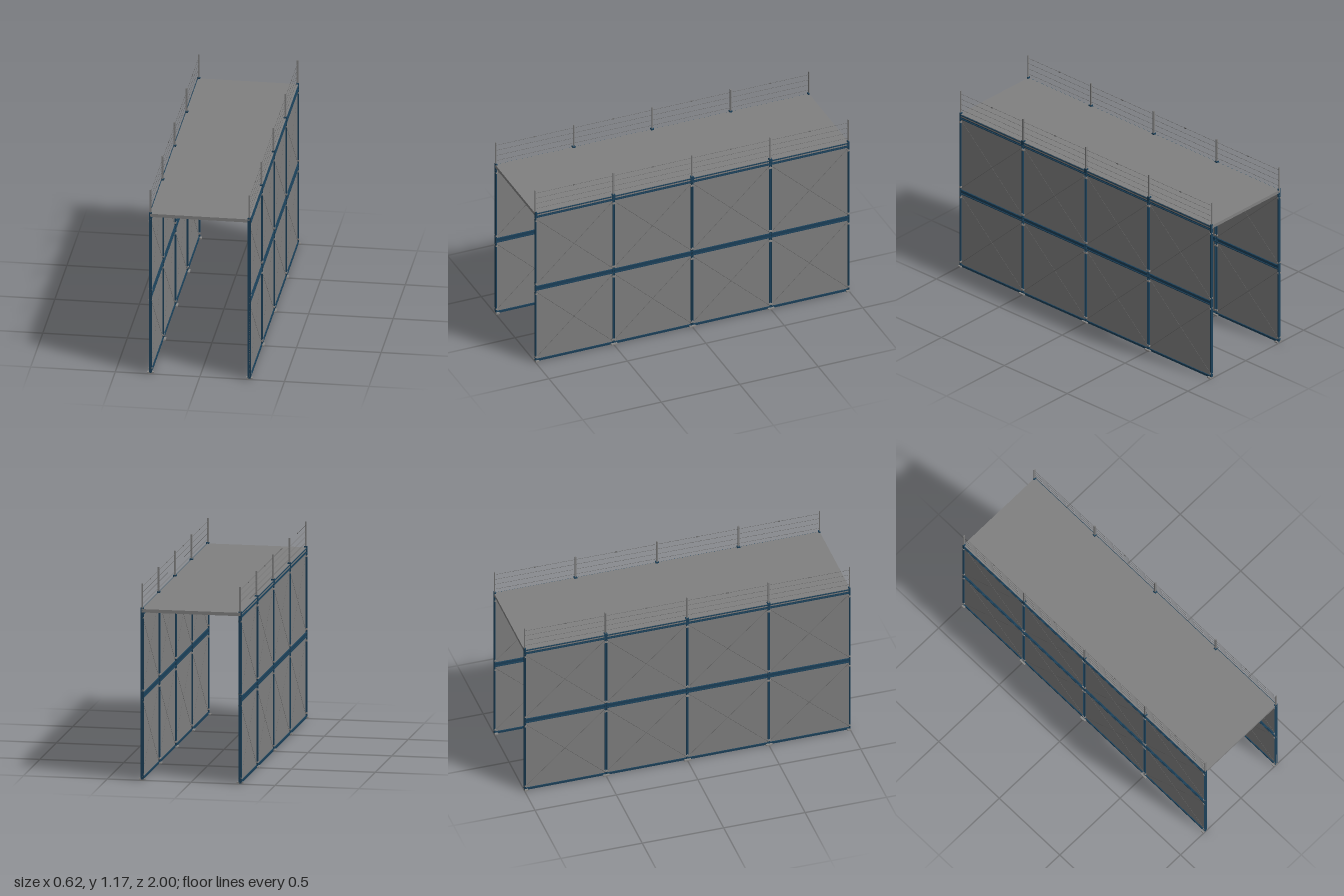
import * as THREE from 'three';

const mat = (name, color) => {
  const m = new THREE.MeshStandardMaterial({ color });
  m.name = name;
  return m;
};

export function createModel() {
  const navy = mat('navy steel', 0x1b4059);
  const grey = mat('panel grey', 0x808080);
  const steel = mat('fitting grey', 0x8a8886);
  const wire = mat('wire grey', 0x6c6c6c);

  const root = new THREE.Group();
  root.name = 'twoStoreyFrame';

  // Box given by its limits; z is clipped to the ends of the structure
  function box(parent, name, material, x, w, y0, y1, z0, z1) {
    z0 = Math.max(-1, z0);
    z1 = Math.min(1, z1);
    const m = new THREE.Mesh(new THREE.BoxGeometry(w, y1 - y0, z1 - z0), material);
    m.position.set(x, (y0 + y1) / 2, (z0 + z1) / 2);
    m.name = name;
    parent.add(m);
    return m;
  }

  // Thin round rod between two points
  function rod(parent, name, material, a, b, r) {
    const d = b.clone().sub(a);
    const m = new THREE.Mesh(new THREE.CylinderGeometry(r, r, d.length(), 6), material);
    m.position.copy(a).add(b).multiplyScalar(0.5);
    m.quaternion.setFromUnitVectors(new THREE.Vector3(0, 1, 0), d.normalize());
    m.name = name;
    parent.add(m);
  }

  const stations = [-1, -0.5, 0, 0.5, 1];
  const W = 0.292;

  // Deck slab
  box(root, 'deck', grey, 0, 0.592, 1.002, 1.022, -1, 1);

  for (const s of [-1, 1]) {
    const x = s * W;
    const side = new THREE.Group();
    side.name = s > 0 ? 'leftSide' : 'rightSide';
    root.add(side);

    // Wall sheet
    box(side, 'wallPanel', grey, x, 0.001, 0.01, 1.0, -1, 1);

    // Sill and I-section beams running the full length
    box(side, 'sill', navy, x, 0.014, 0.005, 0.018, -1, 1);
    for (const [y0, y1] of [[0.49, 0.518], [0.99, 1.019]]) {
      box(side, 'beamBottomFlange', navy, x, 0.018, y0, y0 + 0.005, -1, 1);
      box(side, 'beamTopFlange', navy, x, 0.018, y1 - 0.005, y1, -1, 1);
      box(side, 'beamWeb', navy, x, 0.005, y0, y1, -1, 1);
    }

    for (const z of stations) {
      // H-section post, cut in half at the ends
      for (const e of [-1, 1]) {
        const zc = THREE.MathUtils.clamp(z + e * 0.0055, -0.9985, 0.9985);
        box(side, 'postFlange', navy, x, 0.018, 0.01, 1.0, zc - 0.0015, zc + 0.0015);
      }
      box(side, 'postWeb', navy, x, 0.004, 0.01, 1.0, z - 0.006, z + 0.006);

      // Base plate on a smaller footing
      box(side, 'footing', steel, x, 0.026, 0, 0.005, z - 0.013, z + 0.013);
      box(side, 'basePlate', steel, x, 0.04, 0.004, 0.012, z - 0.02, z + 0.02);

      // Brace clamps on the post
      for (const y of [0.035, 0.468, 0.536, 0.97])
        box(side, 'braceClamp', steel, x, 0.022, y - 0.005, y + 0.005, z - 0.011, z + 0.011);

      // Railing post and its bracket
      box(side, 'railBracket', navy, x, 0.018, 1.0, 1.03, z - 0.009, z + 0.009);
      box(side, 'railPost', grey, x, 0.01, 1.02, 1.175, z - 0.004, z + 0.004);
    }

    for (let i = 0; i < 4; i++) {
      const z0 = stations[i], z1 = stations[i + 1], zm = (z0 + z1) / 2;
      // Crossed tie rods in both storeys
      for (const [y0, y1] of [[0.02, 0.485], [0.52, 0.985]]) {
        rod(side, 'tieRod', wire, new THREE.Vector3(x, y0, z0), new THREE.Vector3(x, y1, z1), 0.0018);
        rod(side, 'tieRod', wire, new THREE.Vector3(x, y1, z0), new THREE.Vector3(x, y0, z1), 0.0018);
      }
      // Tensioner on the top railing wire
      box(side, 'wireTensioner', wire, x, 0.004, 1.152, 1.158, zm - 0.006, zm + 0.006);
    }

    // Railing wires
    for (const y of [1.05, 1.085, 1.12, 1.155])
      rod(side, 'railWire', wire, new THREE.Vector3(x, y, -1), new THREE.Vector3(x, y, 1), 0.001);
  }
  return root;
}
